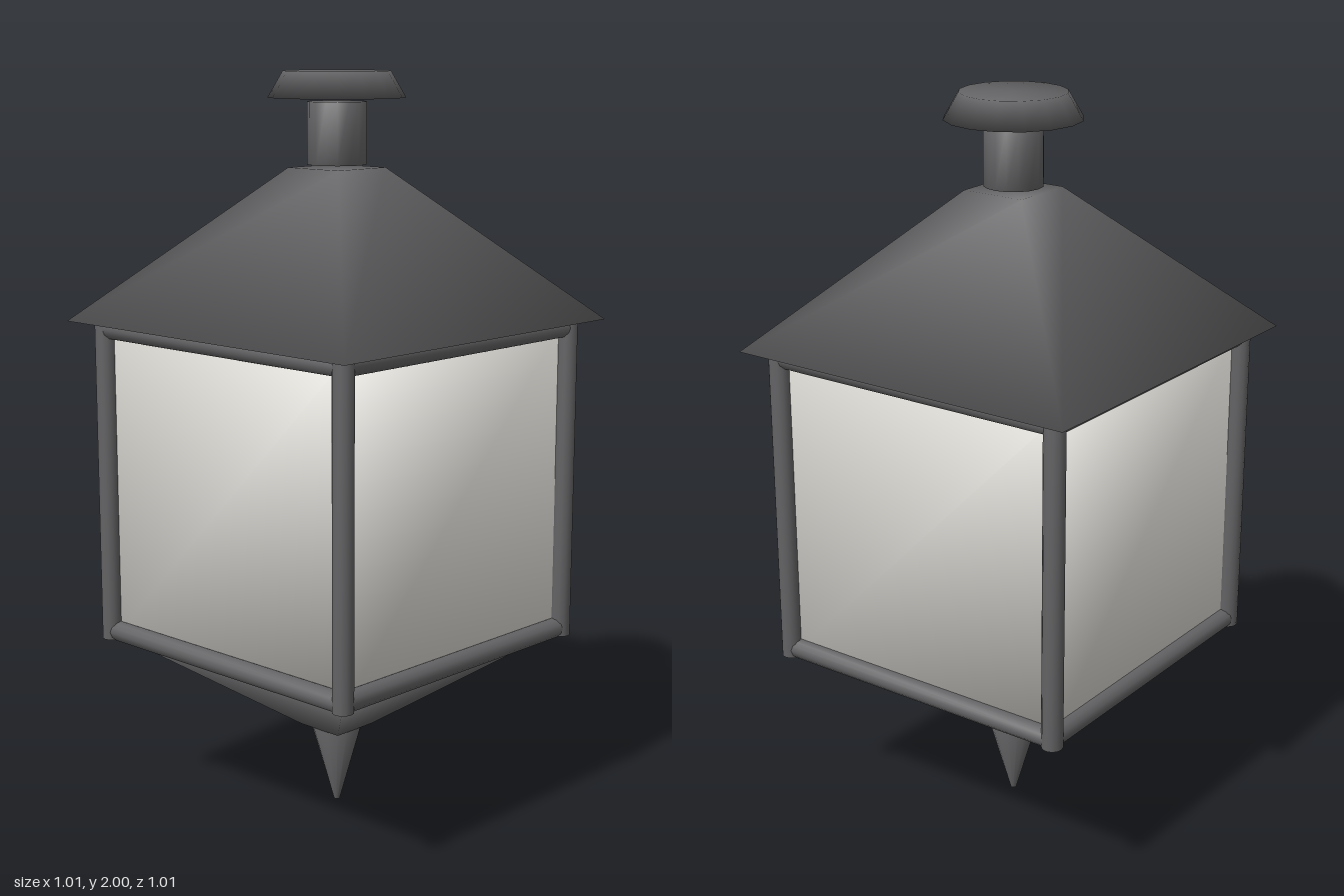
import * as THREE from 'three';
import { mergeVertices } from 'three/addons/utils/BufferGeometryUtils.js';

const metal = new THREE.MeshStandardMaterial({ color: 0x636365 });
metal.name = 'dark grey metal';
const glass = new THREE.MeshStandardMaterial({ color: 0xdedcd6 });
glass.name = 'frosted glass';

// Weld corners so the shading flows smoothly round every edge
function soften(geometry) {
  geometry.deleteAttribute('normal');
  geometry.deleteAttribute('uv');
  const welded = mergeVertices(geometry, 1e-4);
  welded.computeVertexNormals();
  return welded;
}

export function createModel() {
  const lantern = new THREE.Group();
  lantern.name = 'lantern';

  function add(name, geometry, material = metal) {
    const mesh = new THREE.Mesh(soften(geometry), material);
    mesh.name = name;
    lantern.add(mesh);
    return mesh;
  }

  // Upright round section from y0 to y1
  function round(name, y0, y1, r0, r1, sides = 16) {
    const g = new THREE.CylinderGeometry(r1, r0, y1 - y0, sides);
    return add(name, g.translate(0, (y0 + y1) / 2, 0));
  }

  // Square tapered section, given by half widths at y0 and y1
  function square(name, y0, y1, w0, w1) {
    const g = new THREE.CylinderGeometry(w1 * Math.SQRT2, w0 * Math.SQRT2, y1 - y0, 4);
    return add(name, g.rotateY(Math.PI / 4).translate(0, (y0 + y1) / 2, 0));
  }

  // Finial, hopper base, roof, chimney and its cap
  round('bottomSpike', 0, 0.22, 0.008, 0.07);
  square('taperedBase', 0.22, 0.48, 0.07, 0.425);
  square('roof', 1.35, 1.752, 0.505, 0.09);
  round('chimney', 1.76, 1.922, 0.078, 0.078);
  round('chimneyCap', 1.932, 2, 0.18, 0.14);

  // Glass body
  add('glassBody', new THREE.BoxGeometry(0.85, 0.86, 0.85).translate(0, 0.91, 0), glass);

  // Corner posts and the rails along the top and bottom of each side
  const reach = 0.434, thick = 0.028;
  for (let side = 0; side < 4; side++) {
    const angle = side * Math.PI / 2;
    const post = new THREE.CylinderGeometry(thick, thick, 0.88, 12);
    add('cornerPost', post.translate(reach, 0.915, reach).rotateY(angle));
    for (const [name, y] of [['bottomRail', 0.497], ['topRail', 1.33]]) {
      const rail = new THREE.CylinderGeometry(thick, thick, reach * 2, 12);
      add(name, rail.rotateZ(Math.PI / 2).translate(0, y, reach - 0.005).rotateY(angle));
    }
  }
  return lantern;
}
